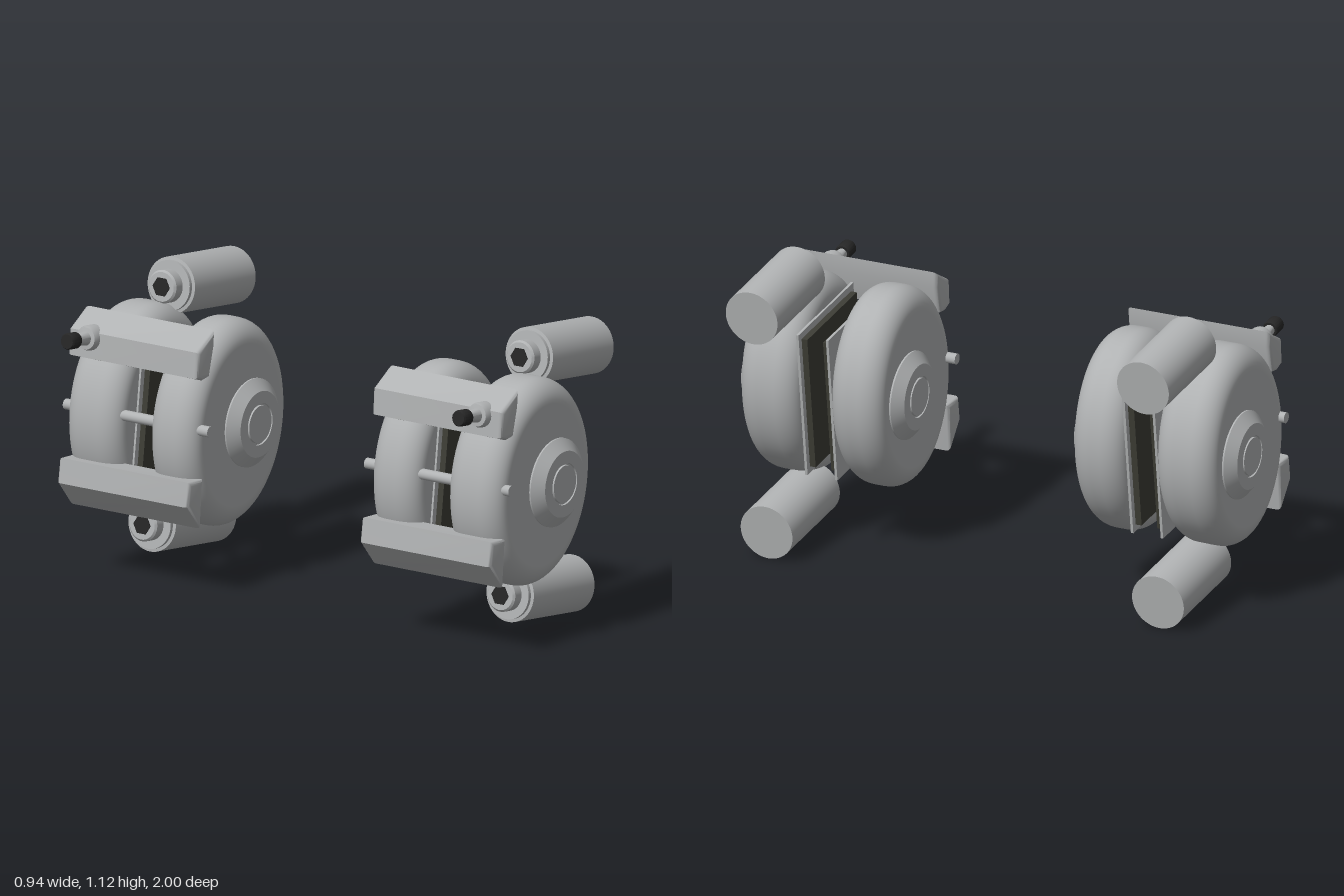
import * as THREE from 'three';
import { toCreasedNormals } from 'three/addons/utils/BufferGeometryUtils.js';

const grey = new THREE.MeshStandardMaterial({ color: 0xb0b2b3 });
grey.name = 'cast metal grey';
const black = new THREE.MeshStandardMaterial({ color: 0x262626 });
black.name = 'rubber black';
const friction = new THREE.MeshStandardMaterial({ color: 0x3d3d35 });
friction.name = 'friction lining';

const TILT = -0.13; // lean shared by housings, pads and cylinders
const vecs = (pts) => pts.map(([x, y]) => new THREE.Vector2(x, y));
const turned = (pts, segs = 40) => toCreasedNormals(new THREE.LatheGeometry(vecs(pts), segs), 0.6);

function add(parent, name, geometry, material, x = 0, y = 0, z = 0, rz = 0) {
  const mesh = new THREE.Mesh(geometry, material);
  mesh.name = name;
  mesh.position.set(x, y, z);
  mesh.rotation.z = rz;
  parent.add(mesh);
  return mesh;
}

// Rounded oval disc, axis along z, with generous fillets on both rims
function housingGeometry(depth) {
  const h = depth / 2, fr = 0.22, fz = 0.085, pts = [[0, -h]];
  for (let i = 0; i <= 10; i++) {
    const a = (i / 10) * Math.PI / 2;
    pts.push([1 - fr + fr * Math.sin(a), -h + fz - fz * Math.cos(a)]);
  }
  const n = pts.length;
  for (let i = n - 1; i >= 0; i--) pts.push([pts[i][0], -pts[i][1]]);
  const g = new THREE.LatheGeometry(vecs(pts), 72);
  g.rotateX(Math.PI / 2);
  g.scale(0.308, 0.381, 1);
  return g;
}

// Cross bar with rounded edges, extruded along z and centred on it
function barGeometry(outline, length) {
  const bevel = 0.016;
  const g = new THREE.ExtrudeGeometry(new THREE.Shape(vecs(outline)), {
    depth: length - 2 * bevel, bevelEnabled: true, bevelThickness: bevel,
    bevelSize: bevel, bevelOffset: -bevel, bevelSegments: 4,
  });
  g.translate(0, 0, -length / 2 + bevel);
  return toCreasedNormals(g, 0.7);
}

// Hub cover with a chamfered rim and a shallow ring groove
const hubGeometry = turned([
  [0.163, -0.03], [0.163, 0.006], [0.122, 0.041], [0.077, 0.041],
  [0.076, 0.034], [0.070, 0.034], [0.069, 0.042], [0, 0.042],
], 48);

// Side cylinder with a stepped neck, running from neck to free end
const cylinderGeometry = turned([
  [0, -0.062], [0.054, -0.062], [0.061, -0.055], [0.061, -0.016], [0.092, -0.016],
  [0.092, -0.002], [0.104, 0], [0.104, 0.38], [0, 0.38],
], 48);

// Hose fitting, running outward from the upper bar
const fittingGeometry = turned([
  [0.046, -0.03], [0.046, 0.018], [0.041, 0.034], [0.026, 0.036],
  [0.018, 0.095], [0, 0.095],
], 24);

const upperBar = [[-0.332, 0.828], [-0.29, 0.813], [-0.25, 0.818], [-0.221, 0.925],
  [-0.219, 0.985], [-0.325, 0.925]];
const lowerBar = [[-0.402, 0.365], [-0.318, 0.268], [-0.298, 0.45], [-0.388, 0.456]];

function addCylinder(unit, name, x, y, z) {
  const g = new THREE.Group();
  g.name = name;
  g.position.set(x, y, z);
  g.rotation.z = TILT - Math.PI / 2;
  add(g, 'cylinderBody', cylinderGeometry, grey);
  add(g, 'hexSocket', new THREE.CylinderGeometry(0.037, 0.037, 0.005, 6), black, 0, -0.063, 0);
  unit.add(g);
}

// One complete unit; s mirrors it between front (+1) and back (-1)
function makeUnit(s) {
  const unit = new THREE.Group();
  unit.name = s > 0 ? 'frontUnit' : 'backUnit';

  // Two housing halves with their hub covers
  for (const [name, near, far] of [['outer', 0.718, 0.957], ['inner', 0.592, 0.382]]) {
    const dir = s * Math.sign(far - near);
    add(unit, name + 'Housing', housingGeometry(Math.abs(far - near)), grey,
      -0.057, 0.595, s * (near + far) / 2, TILT);
    const hub = add(unit, name + 'Hub', hubGeometry, grey, 0, 0.59, s * far);
    hub.rotation.x = dir * Math.PI / 2;
  }

  // Backing plates and friction pads facing the centre gap
  for (const [name, plateZ, padZ] of [['outer', 0.715, 0.699], ['inner', 0.595, 0.612]]) {
    add(unit, name + 'BackingPlate', new THREE.BoxGeometry(0.44, 0.565, 0.01), grey,
      -0.02, 0.59, s * plateZ, TILT);
    add(unit, name + 'FrictionPad', new THREE.BoxGeometry(0.396, 0.515, 0.024), friction,
      -0.02, 0.59, s * padZ, TILT);
  }

  // Guide pin through both halves
  const pin = add(unit, 'guidePin', new THREE.CylinderGeometry(0.02, 0.02, 0.635, 24), grey,
    -0.305, 0.632, s * 0.662);
  pin.rotation.x = Math.PI / 2;

  // Bars bridging the halves
  add(unit, 'upperBar', barGeometry(upperBar, 0.57), grey, 0, 0, s * 0.668);
  add(unit, 'lowerBar', barGeometry(lowerBar, 0.575), grey, 0, 0, s * 0.665);

  // Hose fitting with its rubber cap
  const fitting = new THREE.Group();
  fitting.name = 'hoseFitting';
  fitting.position.set(-0.32, 0.903, s * 0.86);
  fitting.rotation.z = TILT + Math.PI / 2;
  add(fitting, 'fittingStem', fittingGeometry, grey);
  add(fitting, 'fittingCap', turned([[0, 0.092], [0.027, 0.092], [0.03, 0.097], [0.03, 0.143],
    [0.026, 0.149], [0, 0.149]], 20), black);
  unit.add(fitting);

  // Side cylinders
  addCylinder(unit, 'upperCylinder', 0.078, 1.017, s * 0.787);
  addCylinder(unit, 'lowerCylinder', -0.041, 0.156, s * 0.787);
  return unit;
}

export function createModel() {
  const model = new THREE.Group();
  model.name = 'calliperPair';
  for (const s of [1, -1]) model.add(makeUnit(s));
  return model;
}
